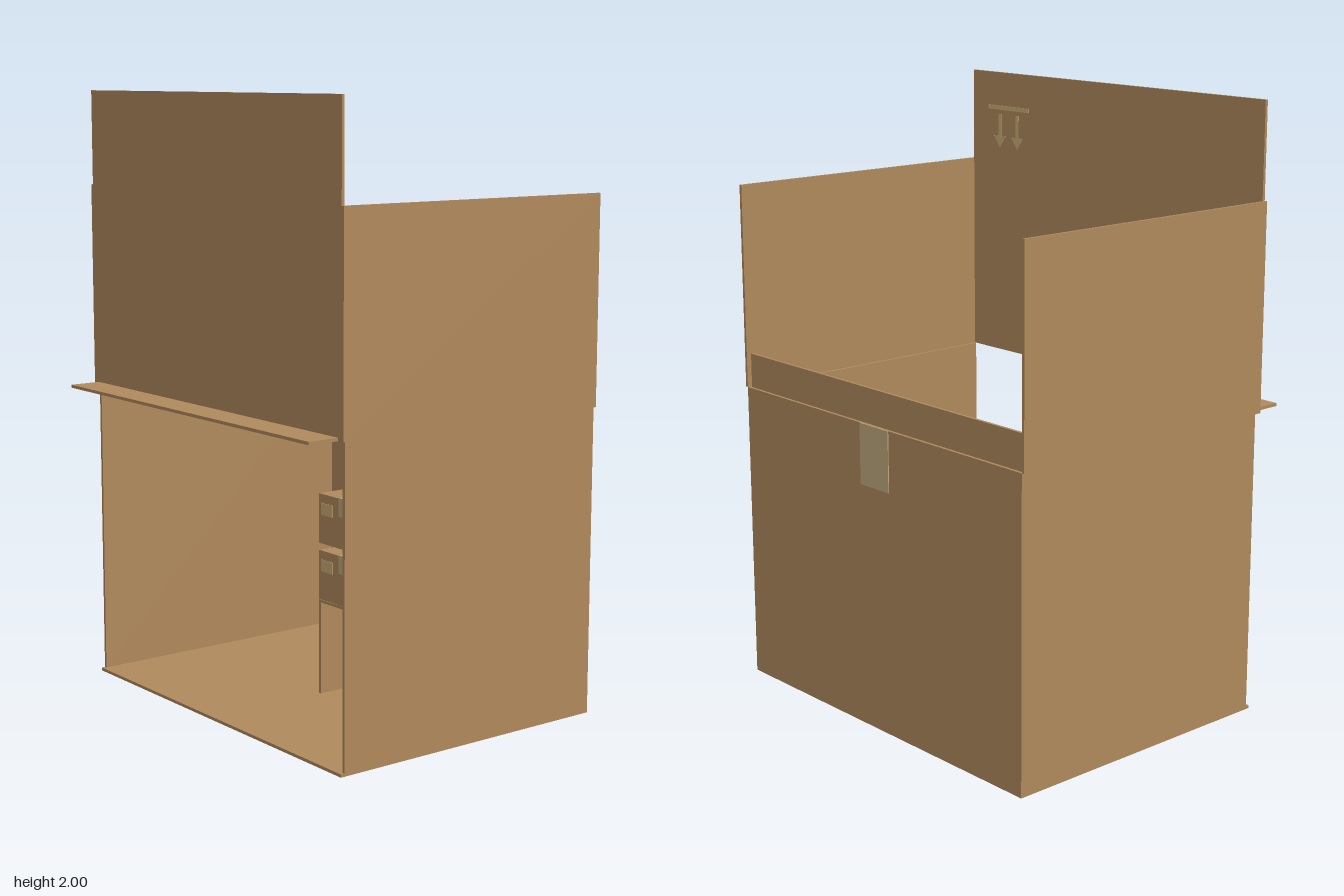
import * as THREE from 'three';

const material = (name, color) => {
  const m = new THREE.MeshStandardMaterial({ color });
  m.name = name;
  return m;
};

export function createModel() {
  const card = material('cardboard', 0xb08a5c);
  const tape = material('packingTape', 0xc0aa7c);
  const print = material('paleLabel', 0xc8ab74);
  const model = new THREE.Group();
  model.name = 'openCardboardBox';

  // Box given by its two extremes on each axis
  function slab(parent, name, mat, x0, x1, y0, y1, z0, z1) {
    const mesh = new THREE.Mesh(new THREE.BoxGeometry(x1 - x0, y1 - y0, z1 - z0), mat);
    mesh.position.set((x0 + x1) / 2, (y0 + y1) / 2, (z0 + z1) / 2);
    mesh.name = name;
    parent.add(mesh);
    return mesh;
  }

  // Main body, open at the front and top
  slab(model, 'floor', card, -0.68, 0.68, 0, 0.01, -0.56, 0.455);
  slab(model, 'backWall', card, -0.68, 0.68, 0.01, 1.01, -0.56, -0.55);
  for (const [side, s] of [['left', 1], ['right', -1]]) {
    const a = s > 0 ? 0.67 : -0.68;
    slab(model, side + 'Wall', card, a, a + 0.01, 0.01, 1.01, -0.55, 0.442);
    const b = s > 0 ? 0.68 : -0.69;
    slab(model, side + 'Flap', card, b, b + 0.01, 1.01, 1.688, -0.56, 0.455);
  }

  // Raised front panel, its outward lip and the short back flap
  slab(model, 'raisedFrontPanel', card, -0.68, 0.68, 1.01, 2, 0.445, 0.455);
  slab(model, 'frontLip', card, -0.665, 0.665, 1.01, 1.02, 0.455, 0.562);
  slab(model, 'backFlap', card, -0.67, 0.67, 1.01, 1.125, -0.55, -0.54);

  // Tape strips and label on the large panels
  slab(model, 'backTape', tape, -0.07, 0.07, 0.81, 1.01, -0.563, -0.56);
  slab(model, 'frontPanelTape', tape, -0.07, 0.07, 1.0, 1.2, 0.442, 0.445);
  slab(model, 'frontPanelLabel', print, -0.54, -0.2, 1.125, 1.365, 0.443, 0.445);

  // Handling mark: a bar with two arrows on the inside of the front panel
  const mark = new THREE.Group();
  mark.name = 'handlingMark';
  model.add(mark);
  slab(mark, 'markBar', print, 0.39, 0.6, 1.87, 1.885, 0.443, 0.445);
  const head = new THREE.Shape();
  head.moveTo(-0.03, 0.04);
  head.lineTo(0, 0);
  head.lineTo(0.03, 0.04);
  head.closePath();
  for (const x of [0.54, 0.45]) {
    slab(mark, 'arrowShaft', print, x - 0.007, x + 0.007, 1.775, 1.855, 0.443, 0.445);
    const tip = new THREE.Mesh(
      new THREE.ExtrudeGeometry(head, { depth: 0.002, bevelEnabled: false }), print);
    tip.position.set(x, 1.738, 0.443);
    tip.name = 'arrowHead';
    mark.add(tip);
  }

  // Two stands, each carrying two small taped boxes
  for (const x of [0.01, 0.287]) {
    const stack = new THREE.Group();
    stack.name = 'boxStack';
    model.add(stack);
    const w = 0.252;
    slab(stack, 'standTop', card, x, x + w, 0.324, 0.333, -0.14, 0.027);
    slab(stack, 'standSide', card, x, x + 0.01, 0.01, 0.324, -0.14, 0.027);
    slab(stack, 'standSide', card, x + w - 0.01, x + w, 0.01, 0.324, -0.14, 0.027);
    for (const y of [0.334, 0.525]) {
      const top = y + 0.167;
      slab(stack, 'smallBox', card, x, x + w, y, top, -0.14, 0.027);
      slab(stack, 'smallBoxTopTape', tape, x + 0.108, x + 0.144, top, top + 0.002, -0.14, 0.029);
      slab(stack, 'smallBoxFrontTape', tape, x + 0.108, x + 0.144, top - 0.06, top, 0.027, 0.029);
      slab(stack, 'smallBoxLabel', print, x + 0.012, x + 0.076, top - 0.07, top - 0.03, 0.027, 0.029);
    }
  }
  return model;
}
